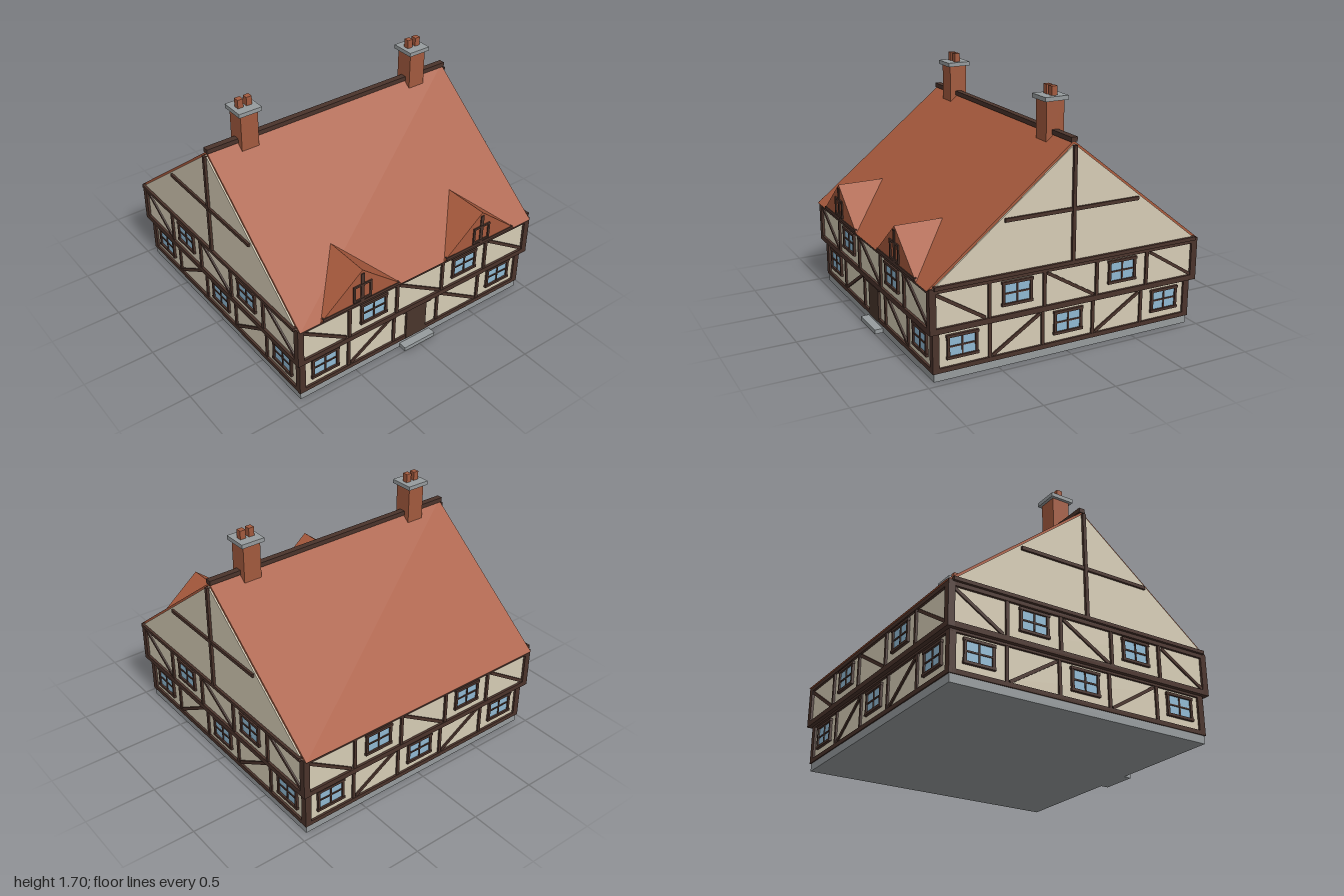
import * as THREE from 'three';

const mat = (name, color) => {
  const m = new THREE.MeshStandardMaterial({ color });
  m.name = name;
  return m;
};

export function createModel() {
  const plaster = mat('cream plaster', 0xd6ccb5);
  const timber = mat('dark timber', 0x4a332b);
  const doorWood = mat('door wood', 0x49352c);
  const tile = mat('roof tile', 0xa85a3d);
  const brick = mat('chimney brick', 0xa25a3e);
  const stone = mat('grey stone', 0x969b9d);
  const glass = mat('window glass', 0x90b9d3);

  const house = new THREE.Group();
  house.name = 'timberFramedHouse';

  const add = (parent, name, geo, m, x = 0, y = 0, z = 0) => {
    const mesh = new THREE.Mesh(geo, m);
    mesh.name = name;
    mesh.position.set(x, y, z);
    parent.add(mesh);
    return mesh;
  };
  // Box given by its limits on each axis
  const box = (parent, name, m, x0, x1, y0, y1, z0, z1) =>
    add(parent, name, new THREE.BoxGeometry(x1 - x0, y1 - y0, z1 - z0), m,
      (x0 + x1) / 2, (y0 + y1) / 2, (z0 + z1) / 2);
  // Profile in x and y, extruded about z = 0
  const prism = (points, depth) => {
    const shape = new THREE.Shape(points.map(p => new THREE.Vector2(...p)));
    return new THREE.ExtrudeGeometry(shape, { depth, bevelEnabled: false }).translate(0, 0, -depth / 2);
  };

  // Slanted timber between two points on a wall face
  const brace = (parent, x0, y0, x1, y1, z) => {
    const len = Math.hypot(x1 - x0, y1 - y0);
    const bar = add(parent, 'brace', new THREE.BoxGeometry(len, 0.022, 0.02), timber,
      (x0 + x1) / 2, (y0 + y1) / 2, z);
    bar.rotation.z = Math.atan2(y1 - y0, x1 - x0);
  };

  // Four-pane window in a timber frame
  const windowUnit = (parent, x, y, z) => {
    const g = new THREE.Group();
    g.name = 'window';
    g.position.set(x, y, z);
    parent.add(g);
    const w = 0.105, h = 0.08, t = 0.018;
    box(g, 'glass', glass, -w + t, w - t, -h + t, h - t, 0, 0.006);
    for (const s of [-1, 1]) {
      box(g, 'frameSide', timber, s * (w - t / 2) - t / 2, s * (w - t / 2) + t / 2, -h, h, 0, 0.016);
      box(g, 'frameRail', timber, -w - 0.004, w + 0.004, s * (h - t / 2) - t / 2, s * (h - t / 2) + t / 2, 0, 0.019);
    }
    box(g, 'mullion', timber, -0.005, 0.005, -h, h, 0, 0.012);
    box(g, 'transom', timber, -w, w, -0.005, 0.005, 0, 0.012);
  };

  // One storey of timber framing in five bays; bay letters:
  // w window, u rising brace, d falling brace, D door
  const storey = (side, wall, out, y0, y1, sill, plate, bays, winY) => {
    const bay = wall * 0.4;
    box(side, 'sillBeam', timber, -out, out, y0, y0 + sill, wall - 0.02, out);
    box(side, 'topPlate', timber, -out, out, y1 - plate, y1, wall - 0.02, out);
    for (const s of [-1, 1]) {
      const c = s * (out - 0.0225);
      box(side, 'cornerPost', timber, c - 0.0225, c + 0.0225, y0, y1, out - 0.045, out);
    }
    for (let i = 1; i < 5; i++) {
      const x = -wall + i * bay;
      box(side, 'post', timber, x - 0.011, x + 0.011, y0, y1, wall - 0.01, out - 0.003);
    }
    [...bays].forEach((kind, i) => {
      const x = (i - 2) * bay, r = bay / 2 - 0.02 - (i % 4 ? 0 : 0.008);
      const lo = y0 + sill + 0.006, hi = y1 - plate - 0.01;
      if (kind === 'w') windowUnit(side, x, winY, wall);
      if (kind === 'u') brace(side, x - r, lo, x + r, hi, wall);
      if (kind === 'd') brace(side, x - r, hi, x + r, lo, wall);
      if (kind === 'D') {
        box(side, 'door', doorWood, -0.085, 0.085, y0, 0.3, wall - 0.01, wall + 0.017);
        box(side, 'doorLintel', timber, -0.122, 0.122, 0.292, 0.31, wall - 0.01, wall + 0.022);
      }
    });
  };

  // Plinth, step and plaster walls
  box(house, 'plinth', stone, -0.945, 0.945, 0, 0.056, -0.945, 0.945);
  box(house, 'doorStep', stone, -0.13, 0.13, 0, 0.03, 0.93, 1.003);
  box(house, 'lowerWalls', plaster, -0.938, 0.938, 0.05, 0.33, -0.938, 0.938);
  box(house, 'upperWalls', plaster, -0.965, 0.965, 0.328, 0.61, -0.965, 0.965);

  // Framing on all four sides
  ['front', 'left', 'back', 'right'].forEach((name, i) => {
    const side = new THREE.Group();
    side.name = name + 'Framing';
    side.rotation.y = i * Math.PI / 2;
    house.add(side);
    storey(side, 0.938, 0.953, 0.055, 0.33, 0.03, 0.02, i ? 'wuwuw' : 'wuDdw', 0.213);
    storey(side, 0.965, 0.982, 0.325, 0.62, 0.036, 0.034, 'dwdwd', 0.495);

    // Gable timbers on the two ends
    if (i % 2) {
      box(side, 'gableTie', timber, -0.955, 0.955, 0.612, 0.636, 0.97, 1);
      box(side, 'gableCollar', timber, -0.482, 0.482, 0.96, 0.984, 0.97, 0.997);
      box(side, 'gablePost', timber, -0.012, 0.012, 0.62, 1.375, 0.97, 1);
    }
  });

  // Gable walls and main roof
  const gable = prism([[-0.965, 0.615], [0.965, 0.615], [0, 1.38]], 1.964);
  add(house, 'gableWalls', gable.rotateY(Math.PI / 2), plaster);
  const roof = prism([[-0.995, 0.612], [-0.968, 0.612], [0, 1.376], [0.968, 0.612], [0.995, 0.612], [0, 1.4]], 1.944);
  add(house, 'mainRoof', roof.rotateY(Math.PI / 2), tile);
  box(house, 'ridgeBeam', timber, -0.978, 0.978, 1.393, 1.424, -0.022, 0.022);

  for (const s of [-1, 1]) {
    // Dormer with timber face
    const dormer = new THREE.Group();
    dormer.name = 'dormer';
    dormer.position.x = s * 0.5;
    house.add(dormer);
    add(dormer, 'dormerRoof', prism([[-0.32, 0.613], [0.32, 0.613], [0, 0.875]], 0.4), tile, 0, 0, 0.793);
    box(dormer, 'dormerSill', timber, -0.3, 0.3, 0.615, 0.636, 0.98, 0.998);
    box(dormer, 'dormerPost', timber, -0.013, 0.013, 0.63, 0.85, 0.98, 1);
    for (const t of [-1, 1]) {
      box(dormer, 'dormerFrameSide', timber, t * 0.064 - 0.008, t * 0.064 + 0.008, 0.645, 0.772, 0.98, 1.002);
      const y = 0.7085 + t * 0.0565;
      box(dormer, 'dormerFrameRail', timber, -0.072, 0.072, y - 0.007, y + 0.007, 0.98, 1.002);
    }

    // Chimney with stone cap and two pots
    const chimney = new THREE.Group();
    chimney.name = 'chimney';
    chimney.position.x = s * 0.686;
    house.add(chimney);
    box(chimney, 'stack', brick, -0.064, 0.064, 1.3, 1.61, -0.064, 0.064);
    box(chimney, 'cap', stone, -0.084, 0.084, 1.607, 1.635, -0.084, 0.084);
    for (const t of [-1, 1]) {
      box(chimney, 'pot', brick, t * 0.032 - 0.02, t * 0.032 + 0.02, 1.63, 1.695, -0.02, 0.02);
    }
  }

  house.position.z = -0.003;
  const model = new THREE.Group();
  model.name = 'house';
  model.add(house);
  return model;
}
